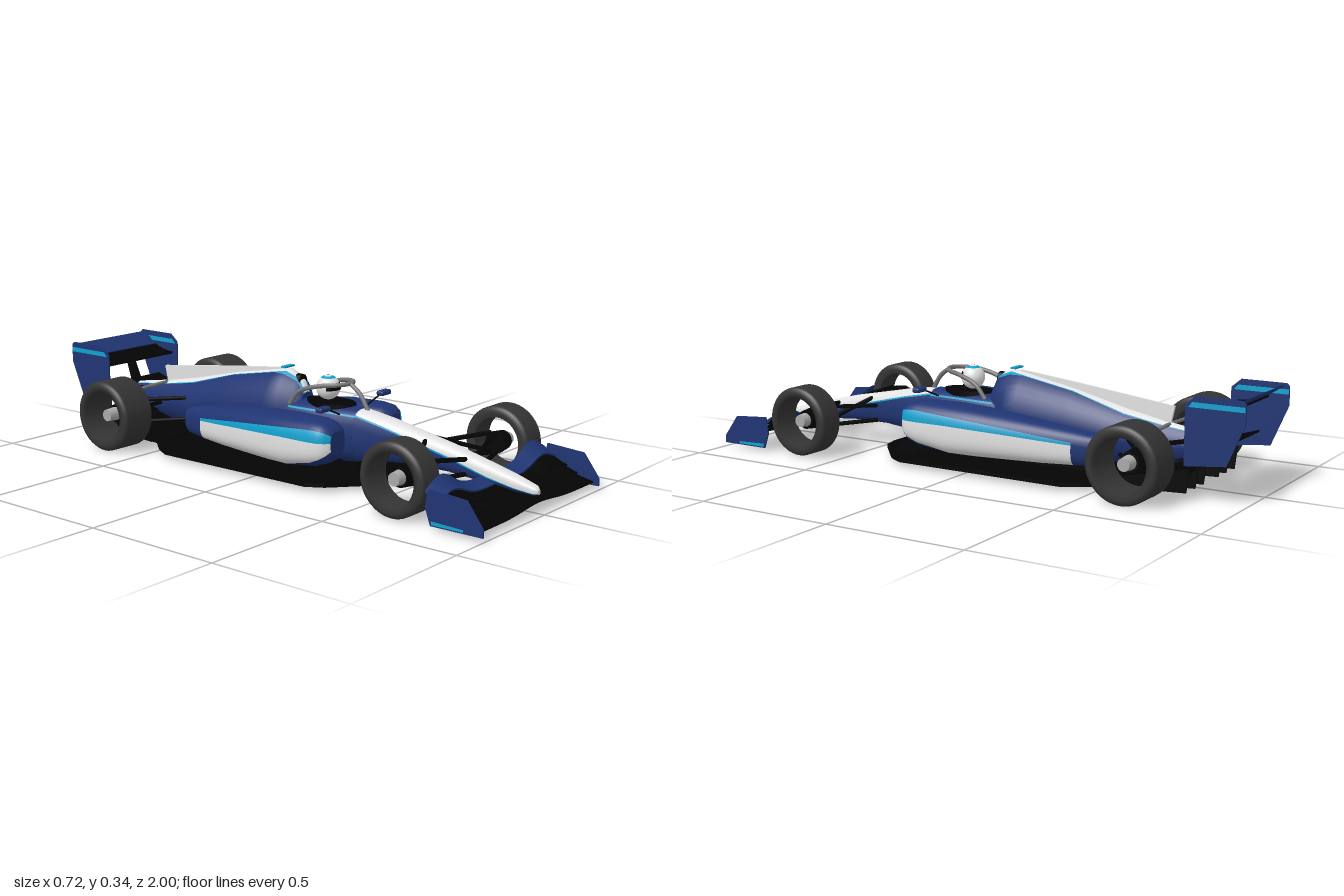
import * as THREE from 'three';
import { RoundedBoxGeometry } from 'three/addons/geometries/RoundedBoxGeometry.js';

const paint = (name, color, double) => {
  const m = new THREE.MeshStandardMaterial({ color });
  m.name = name;
  if (double) m.side = THREE.DoubleSide;
  return m;
};
const V = (x, y, z) => new THREE.Vector3(x, y, z);

export function createModel() {
  const blue = paint('navy blue', 0x1f3472), white = paint('white', 0xe2e2e2), cyan = paint('cyan', 0x10a0cc, true);
  const black = paint('carbon black', 0x040404), tyreGrey = paint('tyre grey', 0x343434);
  const grey = paint('halo grey', 0x747474), silver = paint('silver', 0xa8a8a8), brown = paint('plank brown', 0x44371f);
  const car = new THREE.Group();
  car.name = 'racingCar';

  const add = (name, geo, mat, x = 0, y = 0, z = 0) => {
    const m = new THREE.Mesh(geo.translate(x, y, z), mat);
    m.name = name;
    car.add(m);
  };
  // Adds a part and its mirror image across x = 0, with corners reordered to face outwards
  const both = (name, geo, mat, x = 0, y = 0, z = 0) => {
    add(name + 'Left', geo, mat, x, y, z);
    const g = geo.index ? geo.toNonIndexed() : geo.clone();
    g.scale(-1, 1, 1);
    for (const a of [g.attributes.position, g.attributes.normal]) {
      for (let i = 0; i < a.count; i += 3) {
        const p = V().fromBufferAttribute(a, i + 1), q = V().fromBufferAttribute(a, i + 2);
        a.setXYZ(i + 1, q.x, q.y, q.z);
        a.setXYZ(i + 2, p.x, p.y, p.z);
      }
    }
    add(name + 'Right', g, mat);
  };
  const box = (w, h, d) => new THREE.BoxGeometry(w, h, d);

  // Body shell through rounded sections [z, centreX, halfWidth, bottom, top].
  // Bands run round the section: [start angle or rule of z, material index, rearmost z, steps]
  const loft = (stations, bands, n, caps = [0, 0]) => {
    const pos = [], lists = [], p = 2 / n;
    const put = (m, ...ids) => (lists[m] ??= []).push(...ids);
    const at = (a, z) => (typeof a === 'function' ? a(z) : a);
    const cols = bands.flatMap((b) => Array(b[3]).fill(b));
    const N = cols.length;
    for (const [z, cx, w, yb, yt] of stations) {
      bands.forEach((b, k) => {
        const a0 = at(b[0], z), a1 = k + 1 < bands.length ? at(bands[k + 1][0], z) : at(bands[0][0], z) + 360;
        for (let j = 0; j < b[3]; j++) {
          const a = THREE.MathUtils.degToRad(a0 + (a1 - a0) * j / b[3]), c = Math.cos(a), s = Math.sin(a);
          pos.push(cx + w * Math.sign(c) * Math.abs(c) ** p,
            (yb + yt) / 2 + (yt - yb) / 2 * Math.sign(s) * Math.abs(s) ** p, z);
        }
      });
    }
    for (let i = 0; i + 1 < stations.length; i++) for (let j = 0; j < N; j++) {
      const a = i * N + j, b = i * N + (j + 1) % N, c = b + N, d = a + N;
      put(stations[i + 1][0] < cols[j][2] ? 0 : cols[j][1], a, d, c, a, c, b);
    }
    // End caps with their own corners
    [0, stations.length - 1].forEach((i, end) => {
      const start = pos.length / 3, [z, cx, , yb, yt] = stations[i];
      pos.push(...pos.slice(i * N * 3, (i + 1) * N * 3), cx, (yb + yt) / 2, z);
      for (let j = 0; j < N; j++) {
        const e = [start + j, start + (j + 1) % N];
        if (end) e.reverse();
        put(caps[end], start + N, ...e);
      }
    });
    const g = new THREE.BufferGeometry(), index = [];
    lists.forEach((l, m) => { g.addGroup(index.length, l.length, m); for (const v of l) index.push(v); });
    g.setAttribute('position', new THREE.Float32BufferAttribute(pos, 3));
    g.setIndex(index);
    g.computeVertexNormals();
    return g;
  };
  const livery = [blue, white, cyan, black];

  // Nose: white upper face that wraps lower towards the tip
  const edge = (z) => THREE.MathUtils.clamp(52 - (z - 0.28) * 110, -35, 52);
  add('nose', loft([[0.978, 0, 0.009, 0.062, 0.078], [0.965, 0, 0.02, 0.058, 0.09], [0.9, 0, 0.029, 0.06, 0.11],
    [0.8, 0, 0.034, 0.068, 0.136], [0.65, 0, 0.039, 0.08, 0.173], [0.5, 0, 0.045, 0.08, 0.202],
    [0.4, 0, 0.054, 0.07, 0.222], [0.28, 0, 0.066, 0.05, 0.238]],
  [[(z) => edge(z) - 6, 2, -9, 1], [edge, 1, -9, 12], [(z) => 180 - edge(z), 2, -9, 1],
    [(z) => 186 - edge(z), 0, -9, 10]], 2.6, [1, 0]), livery);
  add('cockpitTub', loft([[0.28, 0, 0.066, 0.05, 0.238], [0.2, 0, 0.08, 0.04, 0.241], [0.1, 0, 0.09, 0.04, 0.241],
    [0, 0, 0.095, 0.04, 0.24], [-0.1, 0, 0.09, 0.04, 0.22]],
  [[43, 2, 0, 1], [49, 0, -9, 10], [131, 2, 0, 1], [137, 0, -9, 12]], 2.6), livery);
  add('cockpitOpening', new THREE.CylinderGeometry(1, 1, 0.02, 32).scale(0.058, 1, 0.1), black, 0, 0.236, 0.14);

  // Engine cover with pale spine, roll hoop intake and tail fin
  const stripe = (z) => (z < -0.4 ? 58 : z < -0.08 ? 71 : 64);
  const spine = (z) => (z < -0.4 ? 61 : 73);
  add('engineCover', loft([[0.03, 0, 0.05, 0.12, 0.262], [0.005, 0, 0.07, 0.06, 0.315], [-0.05, 0, 0.092, 0.05, 0.337],
    [-0.1, 0, 0.1, 0.05, 0.328], [-0.3, 0, 0.092, 0.05, 0.29], [-0.5, 0, 0.07, 0.05, 0.242],
    [-0.65, 0, 0.05, 0.06, 0.212], [-0.82, 0, 0.03, 0.1, 0.185]],
  [[stripe, 2, -9, 1], [spine, 1, -9, 6], [(z) => 180 - spine(z), 2, -9, 1], [(z) => 180 - stripe(z), 0, -9, 28]],
  1.7, [0, 3]), livery);
  add('airIntake', new THREE.CylinderGeometry(0.022, 0.022, 0.04, 24).rotateX(Math.PI / 2), black, 0, 0.3, -0.01);
  add('topCamera', box(0.054, 0.006, 0.02), cyan, 0, 0.342, -0.06);

  // Flat plate drawn in (z, y) with thickness along x
  const plate = (pts, t) => new THREE.ExtrudeGeometry(new THREE.Shape(pts.map(([z, y]) => new THREE.Vector2(z, y))),
    { depth: t, bevelEnabled: false }).translate(0, 0, -t / 2).rotateY(-Math.PI / 2);
  add('tailFin', plate([[-0.07, 0.33], [-0.3, 0.28], [-0.66, 0.2], [-0.675, 0.266], [-0.3, 0.312], [-0.08, 0.336]], 0.01), white);

  // Sidepods with domed fronts and painted flanks
  both('sidepod', loft([[0.295, 0.165, 0.035, 0.11, 0.19], [0.283, 0.165, 0.056, 0.09, 0.208], [0.262, 0.165, 0.069, 0.075, 0.218],
    [0.22, 0.16, 0.078, 0.06, 0.224], [0.1, 0.15, 0.088, 0.045, 0.222], [0, 0.135, 0.088, 0.042, 0.214],
    [-0.15, 0.115, 0.08, 0.042, 0.198], [-0.25, 0.102, 0.07, 0.042, 0.184], [-0.36, 0.088, 0.058, 0.045, 0.168],
    [-0.45, 0.08, 0.04, 0.05, 0.152], [-0.475, 0.078, 0.026, 0.06, 0.14]],
  [[(z) => -62 + Math.max(0, z - 0.1) * 160, 1, -0.37, 10], [(z) => 8 - Math.max(0, z - 0.1) * 30, 2, -0.37, 4],
    [(z) => 27 + z * 30, 0, -9, 30]], 2.8), livery);

  // Mirrors
  both('mirror', new RoundedBoxGeometry(0.055, 0.018, 0.03, 3, 0.007), blue, 0.172, 0.259, 0.24);
  const rod = (a, b, r) => {
    const d = b.clone().sub(a);
    const g = new THREE.CylinderGeometry(r, r, d.length(), 8);
    g.applyQuaternion(new THREE.Quaternion().setFromUnitVectors(V(0, 1, 0), d.normalize()));
    return g.translate((a.x + b.x) / 2, (a.y + b.y) / 2, (a.z + b.z) / 2);
  };
  both('mirrorStalk', rod(V(0.07, 0.222, 0.23), V(0.15, 0.256, 0.24), 0.003), black);

  // Driver helmet and halo
  const ball = (r, ...angles) => new THREE.SphereGeometry(r, 32, 20, ...angles);
  add('helmet', ball(0.043), white, 0, 0.291, 0.125);
  add('helmetBand', ball(0.0438, 0, Math.PI * 2, 0.35, 0.3), cyan, 0, 0.291, 0.125);
  add('visor', ball(0.0442, Math.PI * 0.15, Math.PI * 0.7, 1.1, 0.6), black, 0, 0.291, 0.125);
  const tube = (pts, r) => new THREE.TubeGeometry(new THREE.CatmullRomCurve3(pts), 48, r, 10);
  const arc = [[0.084, 0.232, 0.02], [0.084, 0.28, 0.06], [0.074, 0.306, 0.13], [0.045, 0.315, 0.2]].map((p) => V(...p));
  add('halo', tube([...arc, V(0, 0.317, 0.222), ...arc.map((p) => V(-p.x, p.y, p.z)).reverse()], 0.008), grey);
  add('haloPillar', tube([V(0, 0.317, 0.222), V(0, 0.285, 0.265), V(0, 0.228, 0.302)], 0.008), grey);

  // Floor, plank and diffuser
  const half = [[0.06, 0.44], [0.12, 0.425], [0.25, 0.31], [0.285, 0.25], [0.29, -0.4], [0.25, -0.47], [0.2, -0.53]];
  const outline = [...half, ...half.map(([x, z]) => [-x, z]).reverse()].map(([x, z]) => new THREE.Vector2(x, z));
  add('floor', new THREE.ExtrudeGeometry(new THREE.Shape(outline), { depth: 0.014, bevelEnabled: false })
    .rotateX(Math.PI / 2), black, 0, 0.03, 0);
  add('innerFloor', box(0.2, 0.03, 0.75), black, 0, 0.035, -0.1);
  add('plank', box(0.105, 0.007, 0.9), brown, 0, 0.014, -0.05);
  for (const z of [0.28, -0.05, -0.36]) add('skidBlock', box(0.035, 0.003, 0.045), grey, 0, 0.0105, z);
  add('diffuser', plate([[-0.5, 0.016], [-0.6, 0.025], [-0.81, 0.09], [-0.815, 0.11], [-0.5, 0.04]], 0.4), black);
  for (const x of [0.06, 0.125, 0.195])
    both('diffuserFence', plate([[-0.56, 0.018], [-0.81, 0.03], [-0.82, 0.11], [-0.56, 0.05]], 0.006), black, x);
  for (const x of [0.1, 0.15, 0.2])
    both('floorVane', plate([[0.38 - x * 0.3, 0.025], [0.37 - x * 0.3, 0.06], [0.25, 0.075], [0.22, 0.025]], 0.006), black, x);
  add('gearbox', box(0.06, 0.08, 0.2), black, 0, 0.13, -0.75);

  // Wing elements: a thin slab shaped by rules for height and depth
  const wing = (span, z0, z1, height, t) => {
    const g = new THREE.BoxGeometry(span, t, 1, 48, 1, 6), a = g.attributes.position;
    for (let i = 0; i < a.count; i++) {
      const k = 0.5 - a.getZ(i);
      a.setXYZ(i, a.getX(i), a.getY(i) + height(a.getX(i), k), z0 + (z1 - z0) * k);
    }
    g.computeVertexNormals();
    return g;
  };
  const crest = (x) => 0.094 + 0.058 * Math.exp(-(((Math.abs(x) - 0.27) / 0.09) ** 2));
  const base = (x) => 0.026 + 0.015 * Math.exp(-((x / 0.12) ** 2));
  [[0.98, 0.905, 0, 0.18, black], [0.92, 0.865, 0.22, 0.42, black], [0.88, 0.825, 0.44, 0.68, black],
    [0.835, 0.785, 0.7, 1, blue]].forEach(([z0, z1, k0, k1, mat]) => add('frontWingElement', wing(0.71, z0, z1,
    (x, k) => base(x) + (crest(x) - base(x)) * (k0 + (k1 - k0) * k ** 1.3), 0.006), mat));
  both('frontEndplate', plate([[1, 0.014], [0.81, 0.014], [0.79, 0.07], [0.8, 0.13], [0.94, 0.12], [1, 0.04]], 0.006), blue, 0.357);
  both('frontEndplateStripe', plate([[0.93, 0.018], [0.815, 0.018], [0.812, 0.03], [0.93, 0.026]], 0.008), cyan, 0.357);

  // Rear wing
  add('rearWingMain', wing(0.365, -0.82, -0.93, (x, k) => 0.27 + 0.028 * k * k, 0.008), black);
  add('rearWingFlap', wing(0.365, -0.915, -0.98, (x, k) => 0.295 + 0.042 * k, 0.006), blue);
  add('beamWing', wing(0.365, -0.82, -0.9, (x, k) => 0.15 + 0.025 * k, 0.007), black);
  both('rearEndplate', plate([[-0.795, 0.115], [-0.795, 0.315], [-0.83, 0.345], [-0.99, 0.345], [-1, 0.335], [-1, 0.27],
    [-0.94, 0.13]], 0.005), blue, 0.184);
  both('rearEndplateStripe', plate([[-0.805, 0.308], [-0.82, 0.325], [-0.998, 0.325], [-0.998, 0.308]], 0.007), cyan, 0.184);
  add('rearWingPylon', plate([[-0.79, 0.12], [-0.84, 0.12], [-0.89, 0.275], [-0.86, 0.275]], 0.018), black);

  // Wheels: deep open rims with hub and brake drum
  const wheel = (name, r, w, x, y, z) => {
    const h = w / 2, c = 0.014, rim = r * 0.7;
    const ring = [[rim, -h + 0.006], [r - 0.02, -h], [r - 0.006, -h + 0.006], [r, -h + c], [r, h - c], [r - 0.006, h - 0.006],
      [r - 0.02, h], [rim, h - 0.006], [rim, -h + 0.006]].map(([a, b]) => new THREE.Vector2(a, b));
    const turn = (g) => g.rotateZ(-Math.PI / 2);
    both(name + 'Tyre', turn(new THREE.LatheGeometry(ring, 48)), tyreGrey, x, y, z);
    both(name + 'Brake', turn(new THREE.CylinderGeometry(0.034, 0.04, w * 0.5, 24)), black, x - h * 0.5, y, z);
    both(name + 'Hub', turn(new THREE.CylinderGeometry(0.022, 0.026, w * 0.35, 16)), silver, x + h * 0.25, y, z);
  };
  wheel('front', 0.125, 0.107, 0.306, 0.128, 0.655);
  wheel('rear', 0.13, 0.143, 0.289, 0.13, -0.655);

  // Suspension arms, inner point to outer point
  [[0.035, 0.15, 0.53, 0.24, 0.165, 0.645], [0.03, 0.14, 0.72, 0.24, 0.165, 0.665], [0.04, 0.095, 0.53, 0.24, 0.095, 0.645],
    [0.03, 0.09, 0.72, 0.24, 0.095, 0.665], [0.03, 0.175, 0.56, 0.24, 0.1, 0.645],
    [0.04, 0.17, -0.5, 0.24, 0.175, -0.64], [0.03, 0.17, -0.78, 0.24, 0.175, -0.67], [0.05, 0.09, -0.5, 0.24, 0.09, -0.64],
    [0.03, 0.1, -0.78, 0.24, 0.09, -0.67], [0.03, 0.13, -0.66, 0.24, 0.13, -0.655]]
    .forEach(([a, b, c, d, e, f]) => both('suspensionArm', rod(V(a, b, c), V(d, e, f), 0.008), black));
  both('rearTopLink', rod(V(0.01, 0.205, -0.66), V(0.17, 0.2, -0.66), 0.007), grey);
  return car;
}
